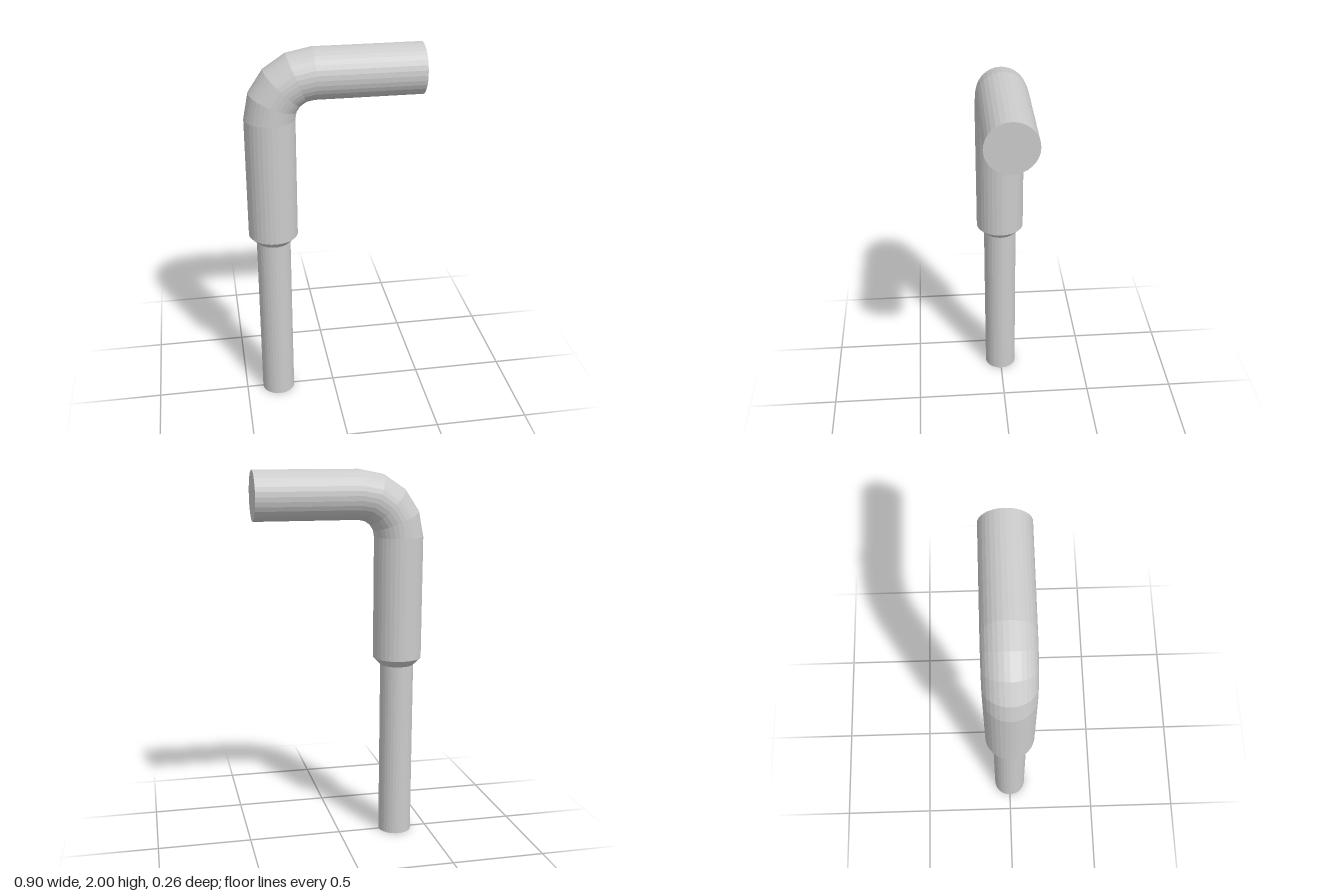
import * as THREE from 'three';

const SIDES = 32;
const PIPE_X = -0.32;      // axis of the upright
const ARM_Y = 1.87;        // axis of the horizontal arm
const THIN = 0.09;
const THICK = 0.13;
const BEND = 0.22;         // centre-line radius of the elbow

export function createModel() {
  const model = new THREE.Group();
  model.name = 'bentPipe';
  const material = new THREE.MeshStandardMaterial({
    color: 0xcccccc, flatShading: true, side: THREE.DoubleSide,
  });

  const add = (name, geometry, x, y) => {
    const mesh = new THREE.Mesh(geometry, material);
    mesh.name = name;
    mesh.position.set(x, y, 0);
    model.add(mesh);
    return mesh;
  };

  // open upright section between two heights
  const upright = (name, y0, y1, r0, r1) =>
    add(name, new THREE.CylinderGeometry(r1, r0, y1 - y0, SIDES, 1, true), PIPE_X, (y0 + y1) / 2);

  const bendX = PIPE_X + BEND;
  const bendY = ARM_Y - BEND;
  const armEnd = 0.45;

  upright('lowerTube', 0, 0.96, THIN, THIN);
  upright('collarChamfer', 0.96, 1.0, THIN, THICK);
  upright('upperSleeve', 1.0, bendY, THICK, THICK);

  // quarter-turn elbow in four segments
  const elbow = new THREE.TorusGeometry(BEND, THICK, SIDES, 4, Math.PI / 2);
  elbow.rotateZ(Math.PI / 2);
  add('elbow', elbow, bendX, bendY);

  // horizontal arm and its closed end
  const arm = new THREE.CylinderGeometry(THICK, THICK, armEnd - bendX, SIDES, 1, true);
  arm.rotateZ(-Math.PI / 2);
  add('arm', arm, (bendX + armEnd) / 2, ARM_Y);

  const cap = new THREE.CircleGeometry(THICK, SIDES);
  cap.rotateY(Math.PI / 2);
  add('armEndCap', cap, armEnd, ARM_Y);

  return model;
}
